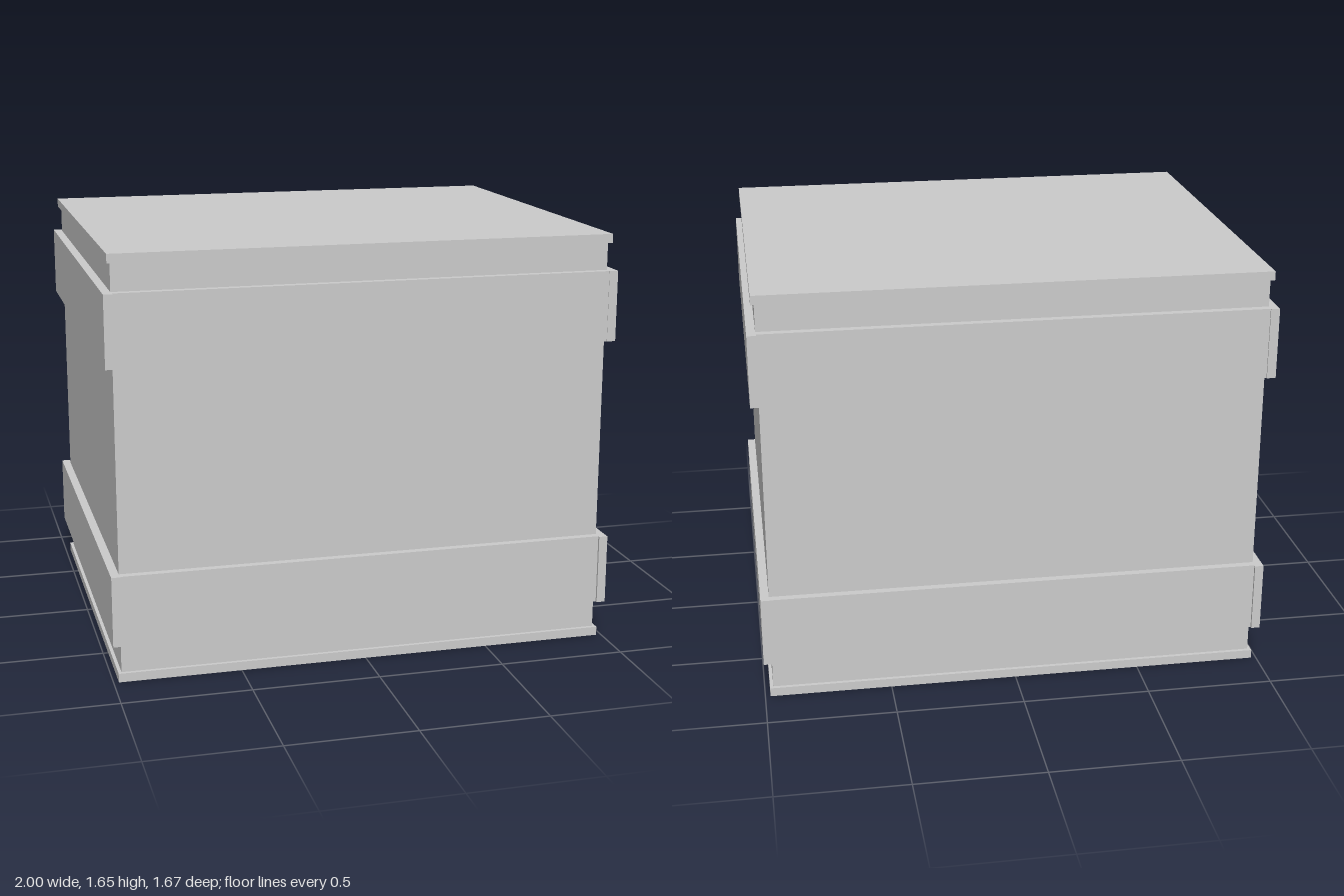
import * as THREE from 'three';

export function createModel() {
  const group = new THREE.Group();
  const material = new THREE.MeshStandardMaterial({ color: 0xcccccc, flatShading: true });

  // Box given by its min and max corners
  function box(name, [x0, y0, z0], [x1, y1, z1]) {
    const mesh = new THREE.Mesh(new THREE.BoxGeometry(x1 - x0, y1 - y0, z1 - z0), material);
    mesh.position.set((x0 + x1) / 2, (y0 + y1) / 2, (z0 + z1) / 2);
    mesh.name = name;
    group.add(mesh);
  }

  // Crate body between thin bottom and top panels
  box('crateBody', [-0.967, 0.035, -0.79], [0.967, 1.615, 0.79]);
  box('bottomPanel', [-0.98, 0, -0.805], [0.98, 0.035, 0.805]);
  box('topPanel', [-0.98, 1.615, -0.805], [0.98, 1.65, 0.805]);

  // Two bands of planks; the side planks stick out slightly past the front and back ones
  const bands = [
    { name: 'lower', y0: 0.152, y1: 0.43, right: [-0.83, 0.825], left: [-0.822, 0.83] },
    { name: 'upper', y0: 1.23, y1: 1.508, right: [-0.825, 0.835], left: [-0.835, 0.822] },
  ];
  for (const { name, y0, y1, right, left } of bands) {
    box(name + 'RightPlank', [-1, y0, right[0]], [-0.965, y1, right[1]]);
    box(name + 'LeftPlank', [0.965, y0, left[0]], [1, y1, left[1]]);
    box(name + 'FrontPlank', [-0.965, y0, 0.788], [0.965, y1, 0.82]);
    box(name + 'BackPlank', [-0.965, y0, -0.82], [0.965, y1, -0.788]);
  }
  return group;
}
